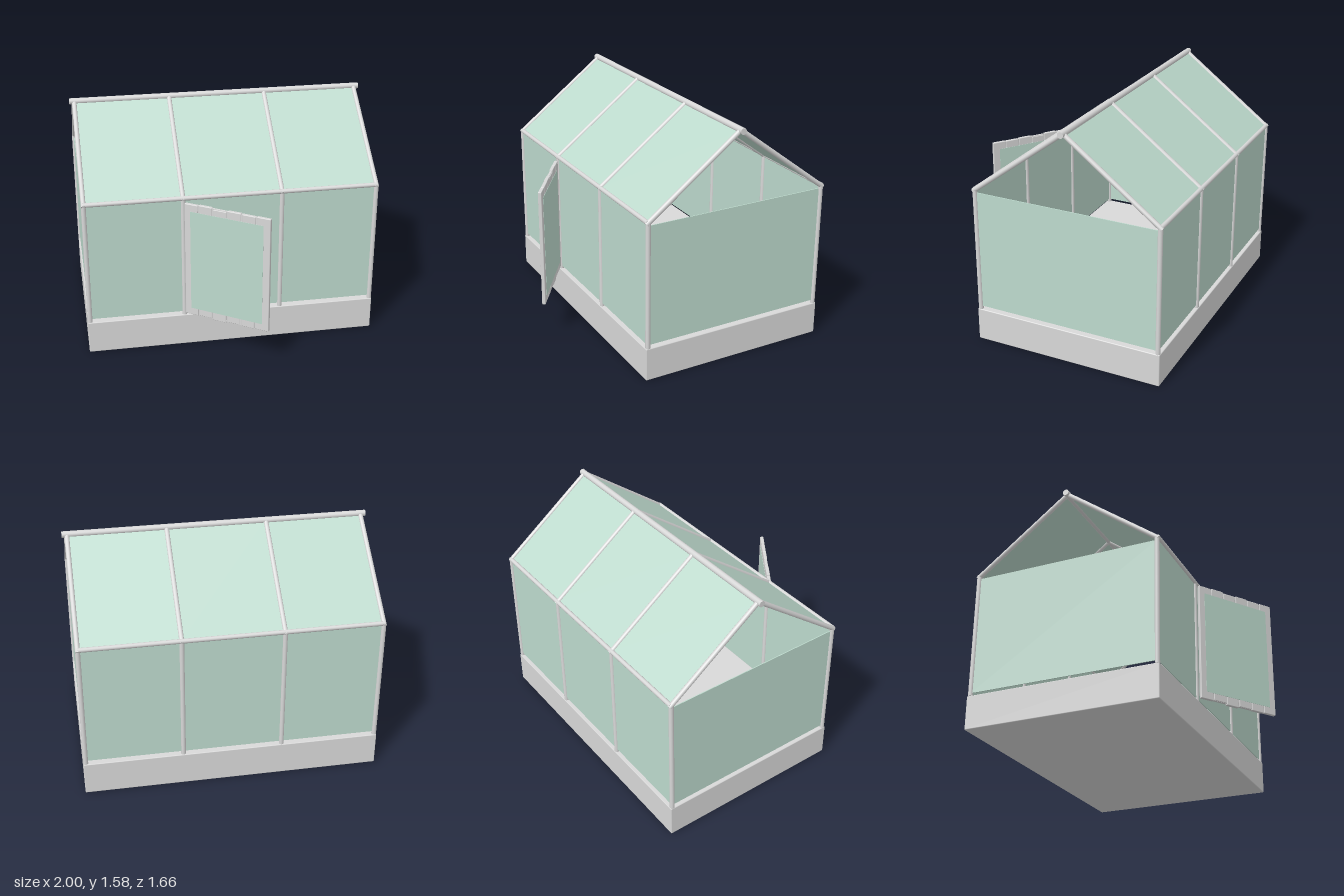
import * as THREE from 'three';
import { RoundedBoxGeometry } from 'three/addons/geometries/RoundedBoxGeometry.js';

const frameGrey = new THREE.MeshStandardMaterial({ color: 0xd8d8d8 });
frameGrey.name = 'frame grey';
const glassGreen = new THREE.MeshStandardMaterial({ color: 0xbddacd });
glassGreen.name = 'pale green glass';

const MID_Z = -0.17;                       // ridge line
const HALF_X = 0.965, HALF_Z = 0.637;      // post lines
const BAYS = [-HALF_X, -0.327, 0.327, HALF_X];
const EAVE_Y = 1.08, RIDGE_Y = 1.56;

function add(parent, name, geometry, material, x = 0, y = 0, z = 0) {
  const mesh = new THREE.Mesh(geometry, material);
  mesh.name = name;
  mesh.position.set(x, y, z);
  parent.add(mesh);
  return mesh;
}

// Round bar between two points
function bar(parent, name, a, b, radius) {
  const from = new THREE.Vector3(...a), to = new THREE.Vector3(...b);
  const dir = to.clone().sub(from);
  const mesh = add(parent, name, new THREE.CylinderGeometry(radius, radius, dir.length(), 12), frameGrey);
  mesh.position.copy(from).add(to).multiplyScalar(0.5);
  mesh.quaternion.setFromUnitVectors(new THREE.Vector3(0, 1, 0), dir.normalize());
  return mesh;
}

function buildDoor() {
  const door = new THREE.Group();
  door.name = 'door';
  const width = 0.605, planks = 6, step = width / planks;
  // Uneven upright planks
  for (let i = 0; i < planks; i++) {
    const drop = [0, 0.004, -0.006, 0.003, 0, 0.002][i];
    add(door, 'doorPlank', new RoundedBoxGeometry(step - 0.007, 0.81, 0.024, 1, 0.004), frameGrey,
      step * (i + 0.5), 0.655 + drop, 0);
  }
  // Rails joining the planks
  for (const y of [0.277, 1.033])
    add(door, 'doorRail', new THREE.BoxGeometry(width - 0.02, 0.05, 0.016), frameGrey, width / 2, y, 0);
  // Pane showing on both faces
  add(door, 'doorPane', new THREE.BoxGeometry(0.51, 0.71, 0.027), glassGreen, 0.3, 0.655, 0);
  door.position.set(-0.32, 0, 0.488);
  door.rotation.y = -0.6;
  return door;
}

export function createModel() {
  const model = new THREE.Group();
  model.name = 'greenhouse';

  // Plinth and floor slab
  add(model, 'base', new RoundedBoxGeometry(1.96, 0.226, 1.31, 1, 0.006), frameGrey, 0, 0.113, MID_Z);
  add(model, 'floor', new THREE.BoxGeometry(1.84, 0.03, 1.18), frameGrey, 0, 0.233, MID_Z);

  // Glass end walls, open above the eaves
  for (const s of [-1, 1])
    add(model, 'endPane', new THREE.BoxGeometry(0.006, 0.815, HALF_Z * 2), glassGreen, s * HALF_X, 0.655, MID_Z);

  const slope = Math.hypot(HALF_Z, RIDGE_Y - EAVE_Y);
  const pitch = Math.atan2(RIDGE_Y - EAVE_Y, HALF_Z);
  for (const s of [-1, 1]) {
    const z = MID_Z + s * HALF_Z;
    // Posts and rafters
    for (const x of BAYS) {
      bar(model, 'post', [x, 0.226, z], [x, EAVE_Y, z], 0.016);
      bar(model, 'rafter', [x, EAVE_Y - 0.008, z + s * 0.012], [x, RIDGE_Y, MID_Z], 0.016);
    }
    bar(model, 'eaveRail', [-0.97, EAVE_Y + 0.003, z + s * 0.004], [0.97, EAVE_Y + 0.003, z + s * 0.004], 0.015);
    // Wall and roof panes in each bay
    for (let i = 0; i < 3; i++) {
      const w = BAYS[i + 1] - BAYS[i], x = (BAYS[i + 1] + BAYS[i]) / 2;
      add(model, 'wallPane', new THREE.BoxGeometry(w, 0.825, 0.006), glassGreen, x, 0.66, z);
      const roof = add(model, 'roofPane', new THREE.BoxGeometry(w, 0.006, slope), glassGreen,
        x, (EAVE_Y + RIDGE_Y) / 2, MID_Z + s * HALF_Z / 2);
      roof.rotation.x = s * pitch;
    }
  }
  bar(model, 'ridgeBeam', [-0.998, RIDGE_Y, MID_Z], [0.998, RIDGE_Y, MID_Z], 0.021);

  model.add(buildDoor());
  return model;
}
